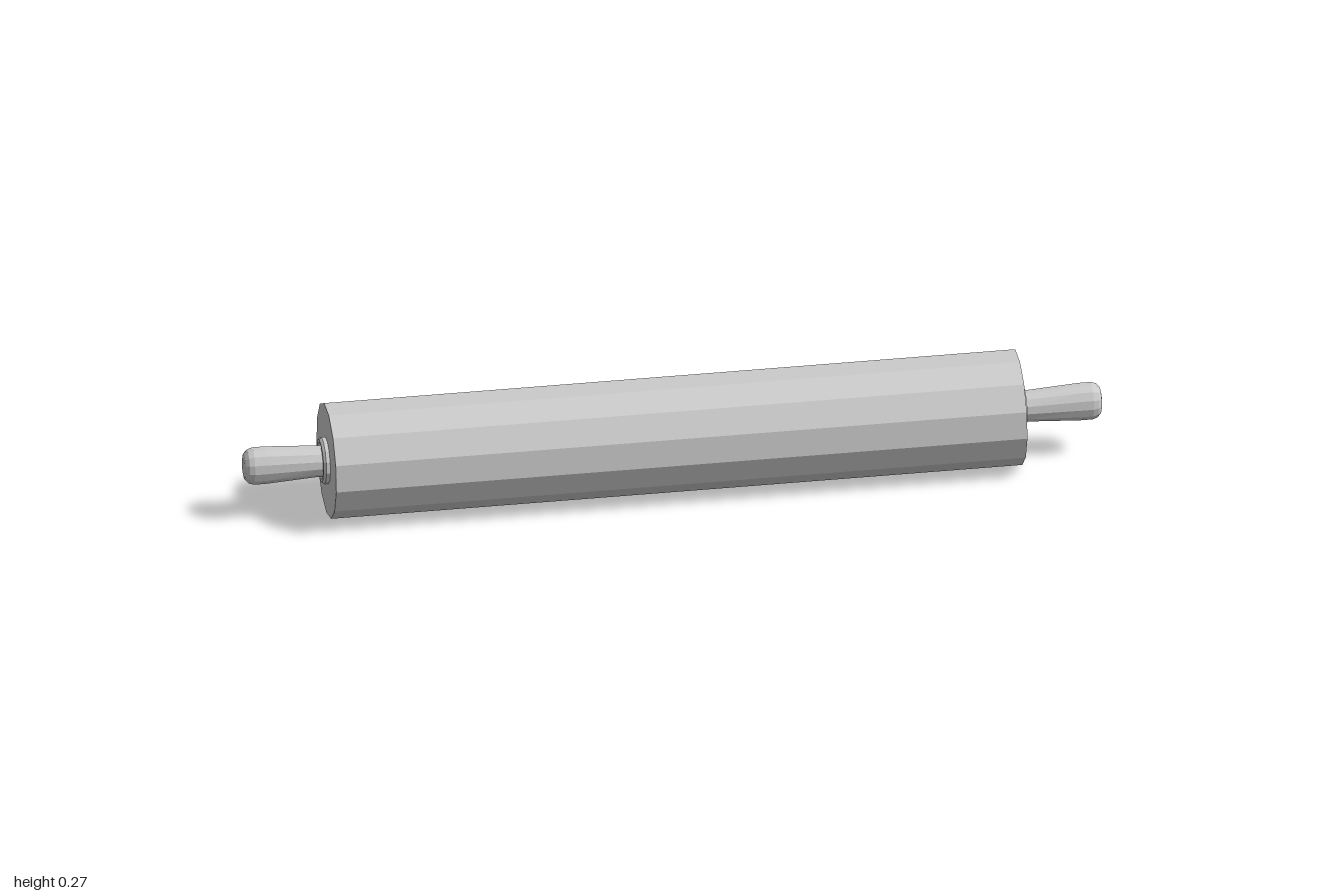
import * as THREE from 'three';

const SIDES = 13;
const AXIS_Y = 0.135;

// Turned part along x from [x, radius] points, with a corner pointing down
function turned(name, profile) {
  const points = profile.map(([x, r]) => new THREE.Vector2(r, x));
  const geometry = new THREE.LatheGeometry(points, SIDES, Math.PI / 2);
  geometry.rotateZ(-Math.PI / 2);
  const material = new THREE.MeshStandardMaterial({ color: 0xcccccc, flatShading: true });
  const mesh = new THREE.Mesh(geometry, material);
  mesh.name = name;
  return mesh;
}

// Grip that flares in height towards its end but keeps an even depth
function makeGrip() {
  const grip = turned('grip', [
    [0.8, 0.036], [0.83, 0.037], [0.95, 0.045], [0.978, 0.045],
    [0.99, 0.041], [0.998, 0.032], [1.0, 0.022], [1.0, 0],
  ]);
  const position = grip.geometry.attributes.position;
  for (let i = 0; i < position.count; i++) {
    const t = THREE.MathUtils.clamp((position.getX(i) - 0.83) / 0.12, 0, 1);
    position.setZ(i, position.getZ(i) * THREE.MathUtils.lerp(0.97, 0.82, t));
  }
  grip.geometry.computeVertexNormals();
  return grip;
}

function makeHandle(name) {
  const handle = new THREE.Group();
  handle.name = name;
  // Bevelled collar against the roller end
  handle.add(turned('collar', [
    [0.8, 0.055], [0.815, 0.055], [0.821, 0.05], [0.821, 0.043], [0.815, 0.036],
  ]));
  handle.add(makeGrip());
  return handle;
}

export function createModel() {
  const model = new THREE.Group();
  model.name = 'rollingPin';

  // Roller with closed flat ends
  const roller = turned('roller', [
    [-0.806, 0], [-0.806, AXIS_Y], [0.806, AXIS_Y], [0.806, 0],
  ]);

  // Matching handles at both ends
  const left = makeHandle('leftHandle');
  const right = makeHandle('rightHandle');
  right.rotation.y = Math.PI;

  for (const part of [roller, left, right]) {
    part.position.y = AXIS_Y;
    model.add(part);
  }
  return model;
}
